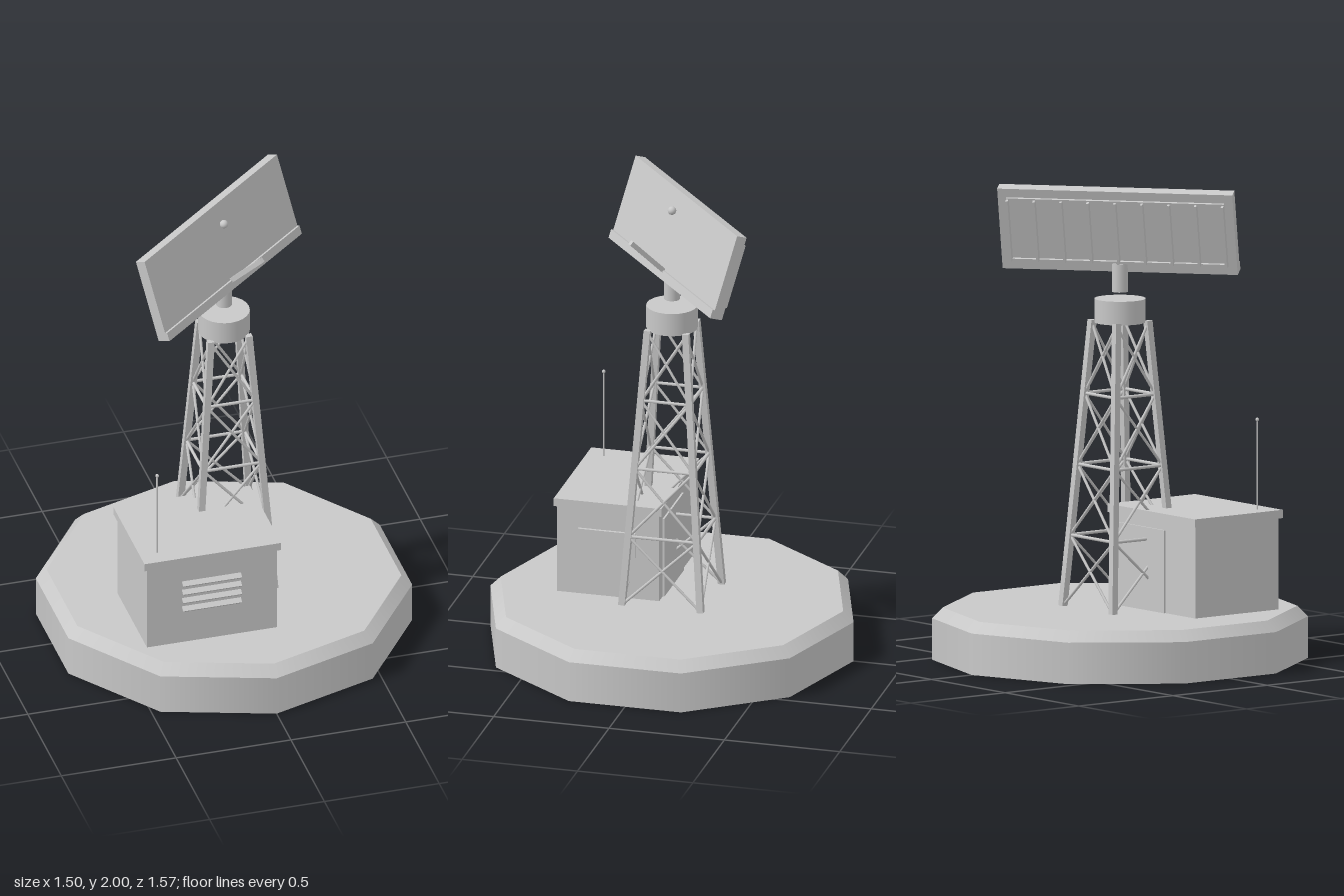
import * as THREE from 'three';

export function createModel() {
  const model = new THREE.Group();
  const grey = new THREE.MeshStandardMaterial({ color: 0xc8c8c8 });
  grey.name = 'paleGrey';

  const add = (parent, name, geo, x = 0, y = 0, z = 0) => {
    const m = new THREE.Mesh(geo, grey);
    m.name = name;
    m.position.set(x, y, z);
    parent.add(m);
    return m;
  };
  const group = (name, parent = model) => {
    const g = new THREE.Group();
    g.name = name;
    parent.add(g);
    return g;
  };
  // box given by its min and max corners
  const block = (parent, name, a, b) => add(parent, name,
    new THREE.BoxGeometry(b[0] - a[0], b[1] - a[1], b[2] - a[2]),
    (a[0] + b[0]) / 2, (a[1] + b[1]) / 2, (a[2] + b[2]) / 2);
  // straight bar between two points, square or round
  const bar = (parent, name, a, b, w, round = false) => {
    const d = b.clone().sub(a), len = d.length();
    const geo = round ? new THREE.CylinderGeometry(w / 2, w / 2, len, 8) : new THREE.BoxGeometry(w, len, w);
    const m = add(parent, name, geo);
    m.position.copy(a).add(b).multiplyScalar(0.5);
    m.quaternion.setFromUnitVectors(new THREE.Vector3(0, 1, 0), d.normalize());
    return m;
  };
  const V = (x, y, z) => new THREE.Vector3(x, y, z);

  // ten-sided base with a bevelled rim
  const base = group('base');
  add(base, 'baseSide', new THREE.CylinderGeometry(0.787, 0.787, 0.175, 10), 0, 0.0875, 0);
  add(base, 'baseBevel', new THREE.CylinderGeometry(0.742, 0.787, 0.045, 10), 0, 0.1975, 0);

  // lattice tower
  const tower = group('tower');
  const y0 = 0.22, y1 = 1.43;
  const corner = (i, y) => {
    const r = 0.17 + (0.083 - 0.17) * (y - y0) / (y1 - y0);
    const [sx, sz] = [[1, 1], [1, -1], [-1, -1], [-1, 1]][i % 4];
    return V(sx * r, y, sz * r);
  };
  const levels = [0.22, 0.52, 0.82, 1.12, 1.42];
  for (let i = 0; i < 4; i++) {
    bar(tower, 'towerLeg', corner(i, y0), corner(i, y1), 0.028);
    for (let k = 0; k < 4; k++) {
      const lo = levels[k], hi = levels[k + 1];
      bar(tower, 'crossBrace', corner(i, lo), corner(i + 1, hi), 0.012, true);
      bar(tower, 'crossBrace', corner(i + 1, lo), corner(i, hi), 0.012, true);
      if (k > 0) bar(tower, 'levelBrace', corner(i, lo), corner(i + 1, lo), 0.014, true);
    }
  }

  // turntable and mast neck
  add(model, 'turntable', new THREE.CylinderGeometry(0.108, 0.108, 0.1, 24), 0, 1.472, 0);
  add(model, 'mastNeck', new THREE.CylinderGeometry(0.034, 0.034, 0.12, 16), 0, 1.61, 0);

  // radar panel, turned and leaning back
  const head = group('radarHead');
  head.rotation.y = THREE.MathUtils.degToRad(40.3);
  const panel = group('radarPanel', head);
  panel.position.set(0, 1.817, -0.031);
  panel.rotation.x = THREE.MathUtils.degToRad(-18);
  add(panel, 'panelSlab', new THREE.BoxGeometry(1.004, 0.37, 0.046));
  block(panel, 'panelLip', [-0.502, -0.185, 0.02], [0.502, -0.147, 0.034]);
  for (let i = 0; i < 9; i++) {
    add(panel, 'panelRib', new THREE.BoxGeometry(0.01, 0.28, 0.03), -0.46 + i * 0.115, 0, -0.036);
  }
  for (const s of [-1, 1]) {
    add(panel, 'panelRail', new THREE.BoxGeometry(0.93, 0.012, 0.012), 0, s * 0.14, -0.028);
  }
  bar(head, 'feedArm', V(0, 1.685, 0.042), V(0, 1.832, 0.19), 0.02);
  add(head, 'feedBall', new THREE.SphereGeometry(0.018, 16, 12), 0, 1.945, 0);

  // equipment hut
  const hut = group('hut');
  block(hut, 'hutWalls', [-0.473, 0.22, 0.03], [0.094, 0.606, 0.472]);
  block(hut, 'hutRoof', [-0.487, 0.606, 0.017], [0.108, 0.641, 0.483]);
  block(hut, 'hutDoor', [-0.27, 0.22, 0.022], [0.04, 0.57, 0.03]);
  block(hut, 'hutWindow', [0.094, 0.405, 0.13], [0.107, 0.515, 0.38]);
  for (let i = 0; i < 4; i++) {
    const slat = add(hut, 'ventSlat', new THREE.BoxGeometry(0.256, 0.007, 0.024), -0.192, 0.51 - i * 0.041, 0.48);
    slat.rotation.x = 0.6;
  }

  // whip antenna on the roof
  add(hut, 'antennaRod', new THREE.CylinderGeometry(0.004, 0.004, 0.38, 8), -0.41, 0.83, 0.408);
  add(hut, 'antennaTip', new THREE.SphereGeometry(0.008, 10, 8), -0.41, 1.02, 0.408);

  return model;
}
